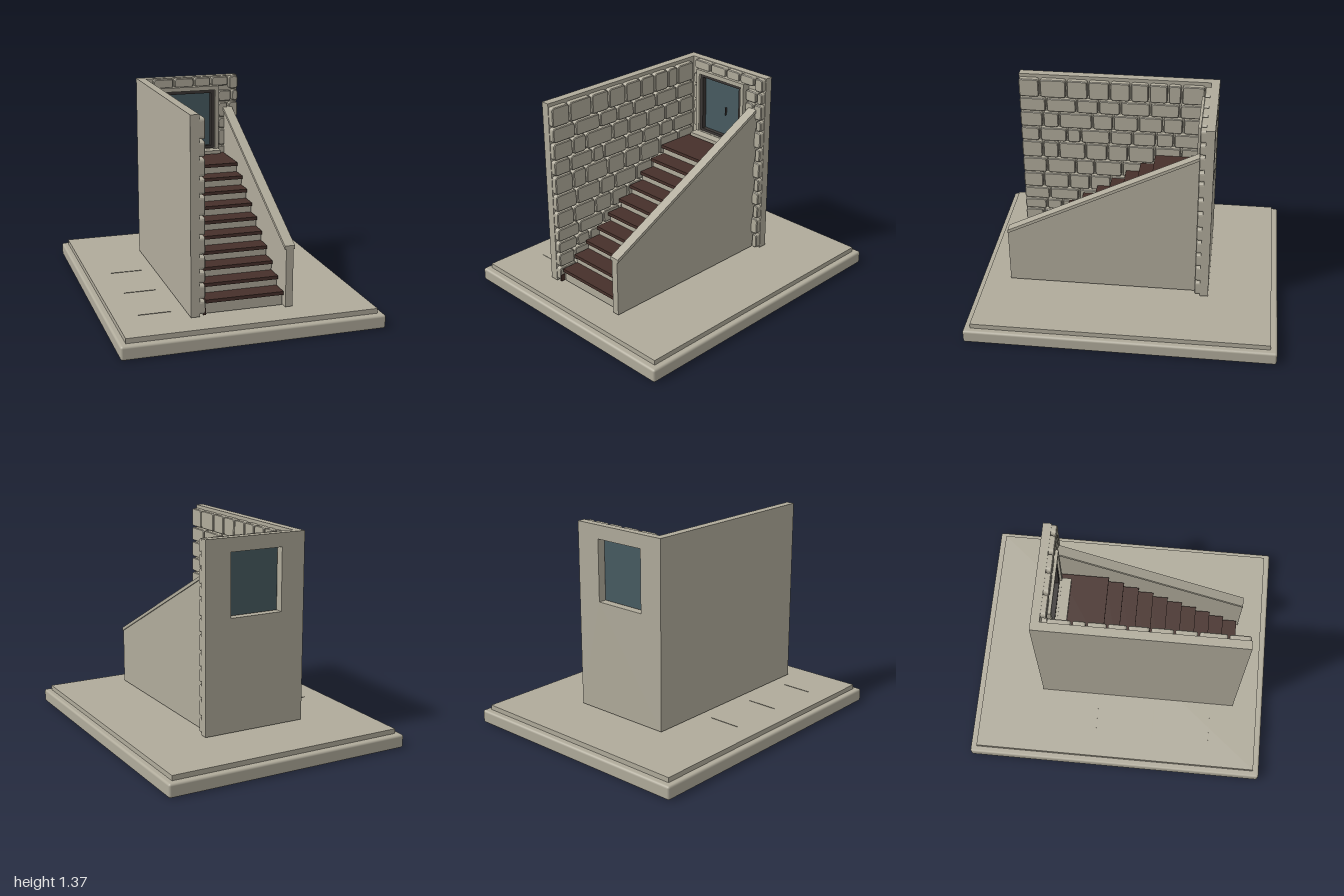
import * as THREE from 'three';
import { RoundedBoxGeometry } from 'three/addons/geometries/RoundedBoxGeometry.js';

const mat = (name, color) => {
  const m = new THREE.MeshStandardMaterial({ color });
  m.name = name;
  return m;
};

export function createModel() {
  const stone = mat('stone', 0xb0ab9b);
  const wood = mat('dark wood', 0x46302a);
  const frameMat = mat('window frame', 0x3a3634);
  const glass = mat('glass', 0x475b61);

  const root = new THREE.Group();
  root.name = 'stairwell';

  const add = (name, geo, material, parent = root) => {
    const m = new THREE.Mesh(geo, material);
    m.name = name;
    parent.add(m);
    return m;
  };
  const group = (name) => {
    const g = new THREE.Group();
    g.name = name;
    root.add(g);
    return g;
  };
  // Box given by its min and max on each axis
  const box = (name, x0, x1, y0, y1, z0, z1, material, parent) => {
    const g = new THREE.BoxGeometry(x1 - x0, y1 - y0, z1 - z0);
    g.translate((x0 + x1) / 2, (y0 + y1) / 2, (z0 + z1) / 2);
    return add(name, g, material, parent);
  };
  const rectPath = (x0, x1, y0, y1, Type = THREE.Path) => {
    const p = new Type();
    p.moveTo(x0, y0);
    p.lineTo(x1, y0);
    p.lineTo(x1, y1);
    p.lineTo(x0, y1);
    p.closePath();
    return p;
  };
  // Rectangular plate with a rectangular hole, facing z
  const framed = (name, o, h, z0, z1, material, parent) => {
    const s = rectPath(...o, THREE.Shape);
    s.holes.push(rectPath(...h));
    const g = new THREE.ExtrudeGeometry(s, { depth: z1 - z0, bevelEnabled: false });
    g.translate(0, 0, z0);
    return add(name, g, material, parent);
  };
  // Side profile given as (z, y) points, spanning x0..x1
  const profile = (name, pts, x0, x1, material) => {
    const s = new THREE.Shape(pts.map(([z, y]) => new THREE.Vector2(z, y)));
    const g = new THREE.ExtrudeGeometry(s, { depth: x1 - x0, bevelEnabled: false });
    g.rotateY(-Math.PI / 2).translate(x1, 0, 0);
    return add(name, g, material);
  };
  // Rounded facing stone lying in the xy plane, depth 0..d
  const stoneGeometry = (u0, u1, v0, v1, d) => {
    const b = 0.005;
    const gap = 0.005 + b;
    const [l, r, lo, hi] = [u0 + gap, u1 - gap, v0 + gap, v1 - gap];
    const c = Math.min(0.014, (r - l) / 2.5, (hi - lo) / 2.5);
    const s = new THREE.Shape();
    s.moveTo(l + c, lo);
    s.lineTo(r - c, lo);
    s.quadraticCurveTo(r, lo, r, lo + c);
    s.lineTo(r, hi - c);
    s.quadraticCurveTo(r, hi, r - c, hi);
    s.lineTo(l + c, hi);
    s.quadraticCurveTo(l, hi, l, hi - c);
    s.lineTo(l, lo + c);
    s.quadraticCurveTo(l, lo, l + c, lo);
    const g = new THREE.ExtrudeGeometry(s, {
      depth: d - 2 * b, bevelThickness: b, bevelSize: b, bevelSegments: 1, curveSegments: 3,
    });
    return g.translate(0, 0, b);
  };

  // Plinth
  add('plinth', new RoundedBoxGeometry(1.67, 0.088, 2, 2, 0.015).translate(0, 0.044, 0), stone);
  box('plinthTop', -0.795, 0.795, 0.085, 0.12, -0.957, 0.957, stone);
  for (const z of [-0.145, 0.245, 0.635]) {
    box('plinthMark', -0.645, -0.435, 0.12, 0.123, z - 0.001, z + 0.001, stone);
  }

  // Walls
  box('sideWall', -0.355, -0.3, 0.13, 1.37, -0.485, 0.79, stone);
  framed('backWall', [-0.355, 0.35, 0.13, 1.37], [-0.19, 0.173, 0.87, 1.28], -0.54, -0.485, stone);

  // Facing stones of the side wall: row heights and joint positions along z
  const sideStones = group('sideWallStones');
  const sideRows = [1.352, 1.215, 1.11, 0.992, 0.885, 0.755, 0.635, 0.515, 0.42, 0.335, 0.235, 0.135];
  const joints = [
    [0.65, 0.47, 0.325, 0.18, 0.043, -0.08, -0.205, -0.295],
    [0.61, 0.405, 0.255, 0.11, -0.09, -0.285],
    [0.635, 0.525, 0.3, 0.16, -0.01, -0.175, -0.31],
    [0.66, 0.475, 0.38, 0.18, 0.03, -0.13, -0.25],
    [0.645, 0.535, 0.35, 0.2, 0.06, -0.12, -0.3],
    [0.62, 0.42, 0.29, 0.1, -0.05, -0.22],
  ];
  for (let i = 0; i < sideRows.length - 1; i++) {
    const cuts = [0.792, ...joints[i % joints.length], -0.45];
    for (let k = 0; k < cuts.length - 1; k++) {
      const g = stoneGeometry(cuts[k + 1], cuts[k], sideRows[i + 1], sideRows[i], 0.045);
      g.rotateY(-Math.PI / 2).translate(-0.263, 0, 0);
      add('sideStone', g, stone, sideStones);
    }
  }

  // Facing stones of the back wall, leaving out the window
  const backStones = group('backWallStones');
  const backStone = (x0, x1, y0, y1) =>
    add('backStone', stoneGeometry(x0, x1, y0, y1, 0.045).translate(0, 0, -0.494), stone, backStones);
  const topCuts = [-0.26, -0.112, 0.032, 0.153, 0.28, 0.352];
  topCuts.slice(1).forEach((x, k) => backStone(topCuts[k], x, k < 4 ? 1.3 : 1.275, 1.372));
  const backRows = [1.275, 1.19, 1.08, 1.0, 0.88, 0.78, 0.66, 0.56, 0.46, 0.36, 0.24, 0.132];
  for (let i = 0; i < backRows.length - 1; i++) {
    const [hi, lo] = [backRows[i], backRows[i + 1]];
    const s = i % 2 ? -0.012 : 0.012;
    const cuts = i < 4 ? [0.203, 0.29 + s, 0.352]
      : [-0.26, -0.11 + s * 3, 0.05 - s * 2, 0.18 + s, 0.29 + s, 0.352];
    if (i < 4) backStone(-0.268, -0.222, lo, hi);
    for (let k = 0; k < cuts.length - 1; k++) {
      backStone(cuts[k], cuts[k + 1], lo, i === 4 && k < 3 ? 0.84 : hi);
    }
  }

  // Window
  const win = group('window');
  framed('windowTrim', [-0.222, 0.204, 0.865, 1.308], [-0.195, 0.178, 0.867, 1.28], -0.487, -0.43, stone, win);
  box('windowSill', -0.217, 0.2, 0.84, 0.864, -0.487, -0.37, stone, win);
  framed('windowFrame', [-0.195, 0.178, 0.865, 1.28], [-0.172, 0.152, 0.885, 1.258], -0.484, -0.445, frameMat, win);
  box('windowPane', -0.188, 0.171, 0.872, 1.278, -0.486, -0.475, glass, win);
  box('windowHandle', 0.019, 0.023, 1.03, 1.085, -0.476, -0.46, frameMat, win);

  // Stairs: a wooden tread on each stone riser
  const stairs = group('stairs');
  for (let i = 0; i < 10; i++) {
    const y = 0.215 + i * 0.067;
    const front = 0.772 - i * 0.1;
    const back = i < 9 ? front - 0.12 : -0.452;
    box('tread', -0.255, 0.243, y - 0.011, y + 0.011, back, front, wood, stairs);
    box('riser', -0.255, 0.243, 0.132, y - 0.011, back, front - 0.02, stone, stairs);
  }
  box('stairFoot', -0.275, -0.26, 0.135, 0.18, 0.755, 0.785, wood, stairs);

  // Sloping parapet and its coping
  profile('parapet', [[0.79, 0.13], [0.79, 0.504], [-0.46, 1.138], [-0.46, 0.13]].reverse(), 0.25, 0.297, stone);
  profile('coping', [[0.79, 0.502], [0.79, 0.525], [-0.46, 1.158], [-0.46, 1.136]].reverse(), 0.24, 0.305, stone);

  return root;
}
